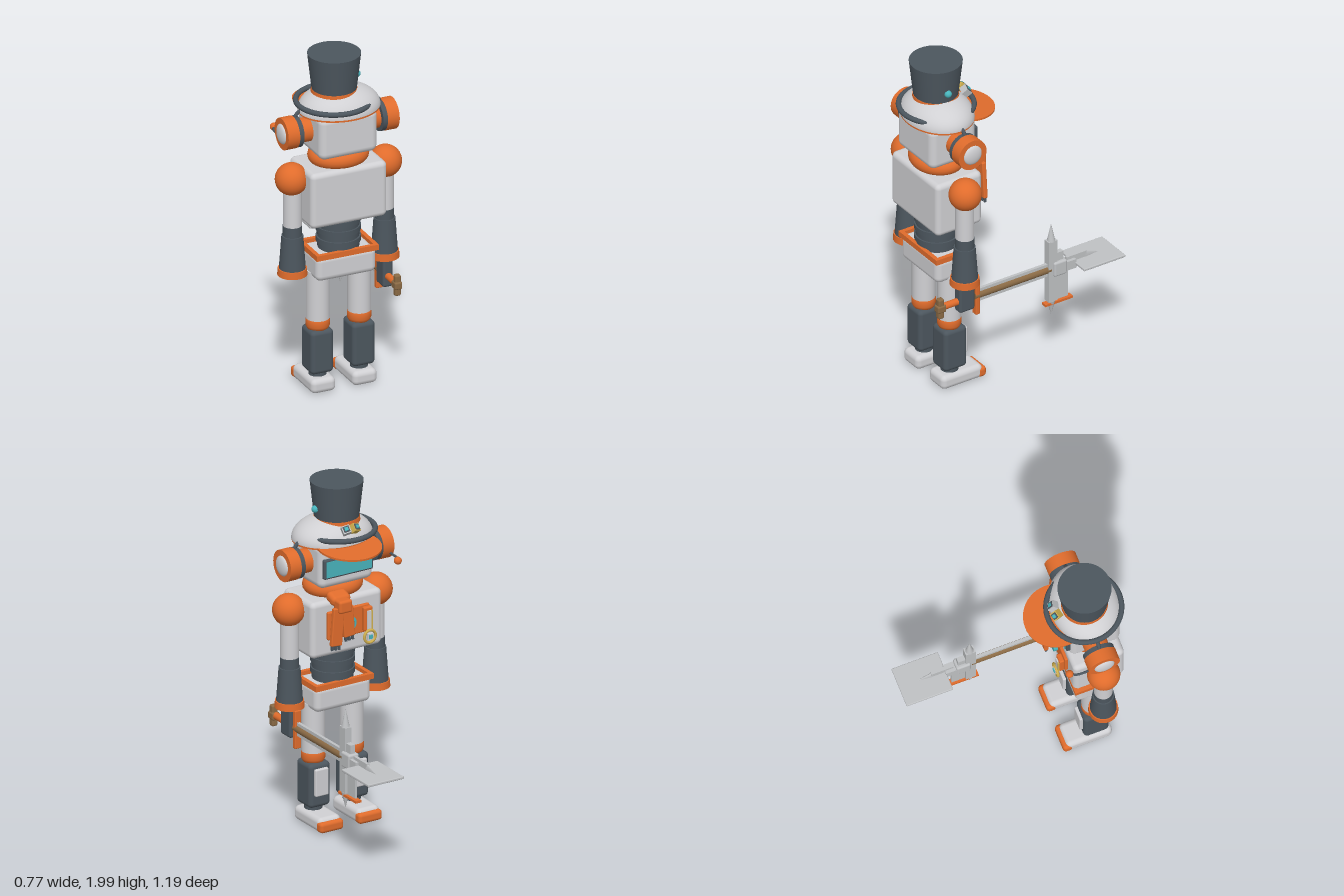
import * as THREE from 'three';
import { RoundedBoxGeometry } from 'three/addons/geometries/RoundedBoxGeometry.js';

const mat = (name, color) => { const m = new THREE.MeshStandardMaterial({ color }); m.name = name; return m; };

export function createModel() {
  const root = new THREE.Group();
  root.name = 'robot';
  const light = mat('light grey', 0xd0d0d3), dark = mat('slate', 0x4c565e), orange = mat('orange', 0xe06c2c);
  const teal = mat('teal', 0x48b4bc), brown = mat('brown', 0x8a6a45), gold = mat('gold', 0xd0b050), steel = mat('steel', 0xbfc1c3);

  const add = (name, geo, m, x, y, z, parent = root) => {
    const mesh = new THREE.Mesh(geo, m);
    mesh.name = name;
    mesh.position.set(x, y, z);
    parent.add(mesh);
    return mesh;
  };
  const box = (name, m, x, y, z, w, h, d, r = 0, parent = root) =>
    add(name, r ? new RoundedBoxGeometry(w, h, d, 3, r) : new THREE.BoxGeometry(w, h, d), m, x, y, z, parent);
  // cylinder between two heights
  const cyl = (name, m, x, y0, y1, z, r0, r1 = r0, seg = 40) =>
    add(name, new THREE.CylinderGeometry(r1, r0, y1 - y0, seg), m, x, (y0 + y1) / 2, z);
  // cylinder along x
  const cylX = (name, m, x0, x1, y, z, r) => {
    const c = add(name, new THREE.CylinderGeometry(r, r, Math.abs(x1 - x0), 40), m, (x0 + x1) / 2, y, z);
    c.rotation.z = Math.PI / 2;
    return c;
  };
  const ball = (name, m, x, y, z, r) => add(name, new THREE.SphereGeometry(r, 32, 20), m, x, y, z);
  const tube = (name, m, r, pts) => add(name, new THREE.TubeGeometry(
    new THREE.CatmullRomCurve3(pts.map(p => new THREE.Vector3(...p))), 24, r, 10), m, 0, 0, 0);

  const cx = -0.012, cz = 0.388;

  // legs, arms and ears, mirrored
  for (const s of [-1, 1]) {
    const lx = cx + s * 0.125;
    box('foot', light, lx, 0.05, 0.345, 0.148, 0.085, 0.27, 0.03);
    box('toeCap', orange, lx, 0.043, 0.219, 0.152, 0.062, 0.058, 0.02);
    cyl('ankle', dark, lx, 0.08, 0.14, cz, 0.05);
    box('shin', dark, lx, 0.245, 0.387, 0.137, 0.26, 0.148, 0.025);
    box('shinPlate', light, lx, 0.268, 0.307, 0.085, 0.16, 0.024, 0.008);
    add('knee', new THREE.LatheGeometry([[0, 0.37], [0.058, 0.37], [0.067, 0.39], [0.067, 0.42], [0.06, 0.44], [0, 0.44]]
      .map(p => new THREE.Vector2(...p)), 36), orange, lx, 0, 0.39);
    cyl('thigh', light, lx, 0.43, 0.72, 0.39, 0.065);

    const ax = cx + s * 0.278;
    ball('shoulder', orange, cx + s * 0.283, 1.293, 0.39, 0.092);
    cyl('upperArm', light, ax, 1.0, 1.25, 0.39, 0.052);
    cyl('elbow', dark, ax, 0.94, 1.015, 0.39, 0.053);
    cyl('forearm', dark, ax, 0.755, 0.955, 0.39, 0.074, 0.06);
    cyl('cuff', orange, ax, 0.72, 0.76, 0.39, 0.083, 0.08);
    cyl('cuffOpening', dark, ax, 0.717, 0.725, 0.39, 0.066);

    const ey = 1.567, ez = 0.375;
    cylX('earMount', orange, cx + s * 0.15, cx + s * 0.235, ey, ez, 0.068);
    cylX('earPad', dark, cx + s * 0.238, cx + s * 0.272, ey, ez, 0.089);
    cylX('earCup', orange, cx + s * 0.265, cx + s * 0.335, ey, ez, 0.091);
    const cap = ball('earCap', light, cx + s * 0.334, ey, ez, 0.058);
    cap.scale.x = 0.35;
    tube('headband', dark, 0.011, [[cx + s * 0.258, 1.62, ez], [cx + s * 0.252, 1.66, ez], [cx + s * 0.225, 1.684, ez], [cx + s * 0.17, 1.695, ez]]);
  }

  // pelvis, belt and waist
  box('pelvis', light, cx, 0.765, cz, 0.362, 0.15, 0.235, 0.035);
  const rect = (w, h, Type) => new Type([[-w, -h], [w, -h], [w, h], [-w, h]].map(p => new THREE.Vector2(...p)));
  const beltShape = rect(0.187, 0.126, THREE.Shape);
  beltShape.holes.push(rect(0.163, 0.102, THREE.Path));
  const belt = add('belt', new THREE.ExtrudeGeometry(beltShape, { depth: 0.032, bevelEnabled: false }), orange, cx, 0.825, cz);
  belt.rotation.x = -Math.PI / 2;
  cyl('waist', dark, cx, 0.82, 1.05, cz, 0.115);
  for (const y of [0.89, 0.955, 1.01]) cyl('waistRing', dark, cx, y - 0.015, y + 0.015, cz, 0.124);

  // torso with chest panel
  box('torso', light, cx, 1.195, cz, 0.46, 0.33, 0.3, 0.03);
  box('chestPanel', orange, cx, 1.215, 0.232, 0.27, 0.165, 0.022, 0.008);
  const core = add('chestLamp', new THREE.CylinderGeometry(0.046, 0.046, 0.03, 32), teal, 0, 1.215, 0.212);
  core.rotation.x = Math.PI / 2;

  // medal on a ribbon
  box('ribbonBack', orange, -0.12, 1.22, 0.205, 0.055, 0.14, 0.03, 0.008);
  box('ribbon', light, -0.12, 1.21, 0.186, 0.026, 0.12, 0.008);
  box('ribbonEdge', gold, -0.138, 1.21, 0.186, 0.009, 0.12, 0.008);
  add('medalRim', new THREE.TorusGeometry(0.036, 0.008, 10, 32), gold, -0.12, 1.122, 0.178);
  box('medalGem', light, -0.12, 1.122, 0.178, 0.036, 0.036, 0.016);
  box('medalGemFace', teal, -0.12, 1.122, 0.168, 0.022, 0.022, 0.008);

  // neck and scarf
  cyl('neck', dark, cx, 1.34, 1.46, cz, 0.1);
  const scarf = add('scarf', new THREE.TorusGeometry(0.13, 0.044, 16, 48), orange, cx, 1.395, cz);
  scarf.rotation.x = Math.PI / 2;
  scarf.scale.y = 0.86;
  box('scarfDrape', orange, 0.055, 1.375, 0.225, 0.12, 0.06, 0.09, 0.025).rotation.x = -0.3;
  box('scarfKnot', orange, 0.06, 1.348, 0.168, 0.085, 0.075, 0.07, 0.015);
  for (const [x, y0, tilt] of [[0.1, 1.12, 0.08], [0.03, 1.16, -0.08]]) {
    const h = 1.34 - y0;
    const tail = new THREE.Group();
    tail.name = 'scarfTail';
    tail.position.set(x, (1.34 + y0) / 2, 0.167);
    tail.rotation.z = tilt;
    root.add(tail);
    box('tailCloth', orange, 0, 0, 0, 0.07, h, 0.026, 0.006, tail);
    for (let i = -1; i <= 1; i++) box('fringe', dark, i * 0.022, -h / 2 - 0.012, 0, 0.012, 0.028, 0.014, 0, tail);
  }

  // head, visor and microphone
  box('head', light, cx, 1.557, cz, 0.35, 0.255, 0.3, 0.04);
  box('visorFrame', dark, cx, 1.552, 0.236, 0.318, 0.116, 0.03, 0.01);
  box('visor', teal, cx, 1.552, 0.221, 0.29, 0.092, 0.008);
  tube('microphoneArm', dark, 0.007, [[-0.325, 1.535, 0.34], [-0.328, 1.526, 0.27], [-0.324, 1.525, 0.22], [-0.306, 1.525, 0.188]]);
  ball('microphone', orange, -0.306, 1.525, 0.186, 0.022);

  // domed cap with peak
  const dome = add('capDome', new THREE.SphereGeometry(1, 48, 16, 0, Math.PI * 2, 0, Math.PI / 2), light, -0.008, 1.675, cz);
  dome.scale.set(0.235, 0.13, 0.192);
  const rim = cyl('capRim', orange, -0.008, 1.664, 1.677, cz, 1, 1, 48);
  rim.scale.set(0.232, 1, 0.19);
  const peak = cyl('capPeak', orange, cx, 1.66, 1.671, 0.222, 0.182, 0.182, 48);
  peak.rotation.x = -0.1;
  const strap = add('goggleStrap', new THREE.TorusGeometry(0.207, 0.015, 12, 64), dark, -0.035, 1.715, 0.375);
  strap.rotation.x = Math.PI / 2;
  [[-0.042, gold, 0.35], [0.012, steel, -0.35]].forEach(([x, m, turn]) => {
    const g = new THREE.Group();
    g.name = 'goggle';
    g.position.set(x, 1.765, 0.213);
    g.rotation.set(0.75, turn, 0);
    root.add(g);
    box('goggleBody', m, 0, 0, 0, 0.046, 0.046, 0.04, 0, g);
    box('goggleInset', dark, 0, 0, -0.021, 0.034, 0.034, 0.006, 0, g);
    box('goggleLens', teal, 0, 0, -0.025, 0.02, 0.02, 0.006, 0, g);
  });

  // top hat
  cyl('hatBand', orange, -0.033, 1.755, 1.792, 0.38, 0.131, 0.127, 48);
  cyl('hat', dark, -0.033, 1.785, 2, 0.38, 0.124, 0.148, 48);
  ball('hatBead', teal, 0.1, 1.85, 0.388, 0.021);

  // hand and pole tool
  const hx = 0.266, ty = 0.617;
  box('hand', dark, hx, 0.635, 0.39, 0.06, 0.17, 0.1, 0.015);
  box('guard', orange, hx, 0.612, 0.315, 0.04, 0.225, 0.028, 0.006);
  const pole = (name, m, z0, z1, r) => {
    const p = add(name, new THREE.CylinderGeometry(r, r, z1 - z0, 20), m, hx, ty, (z0 + z1) / 2);
    p.rotation.x = Math.PI / 2;
  };
  pole('shaft', brown, -0.17, 0.33, 0.022);
  pole('gripCollar', orange, 0.43, 0.53, 0.02);
  box('pommel', brown, hx, 0.613, 0.552, 0.036, 0.125, 0.036, 0.01);
  box('pommelHub', brown, hx, 0.613, 0.55, 0.046, 0.045, 0.055, 0.01);
  for (const s of [-1, 1]) box('shaftRail', steel, hx, ty + s * 0.03, 0.07, 0.018, 0.018, 0.46);

  // tool head: vertical spikes, hammer block, forward pick and spade
  box('spikeBody', steel, hx, 0.607, -0.178, 0.042, 0.385, 0.058);
  const spike = (y, h, flip) => {
    const c = add('spikeTip', new THREE.ConeGeometry(0.024, h, 16), steel, hx, y, -0.178);
    if (flip) c.rotation.x = Math.PI;
  };
  spike(0.85, 0.11, false);
  spike(0.367, 0.095, true);
  box('hammerBlock', steel, hx, ty, -0.222, 0.068, 0.09, 0.085, 0.012);
  box('upperLug', steel, hx, 0.685, -0.225, 0.03, 0.055, 0.05);
  box('lowerBlade', steel, hx, 0.49, -0.243, 0.014, 0.16, 0.085);
  box('bladeEdge', orange, hx, 0.398, -0.22, 0.036, 0.014, 0.18);
  box('spadeCollar', steel, hx, 0.612, -0.285, 0.056, 0.055, 0.08);
  box('pickBody', steel, hx, ty, -0.34, 0.018, 0.08, 0.13);
  const pick = add('pickTip', new THREE.ConeGeometry(0.04, 0.1, 20), steel, hx, ty, -0.448);
  pick.rotation.x = -Math.PI / 2;
  pick.scale.x = 0.28;
  box('spade', steel, hx, 0.613, -0.455, 0.232, 0.016, 0.272, 0.005);

  return root;
}
